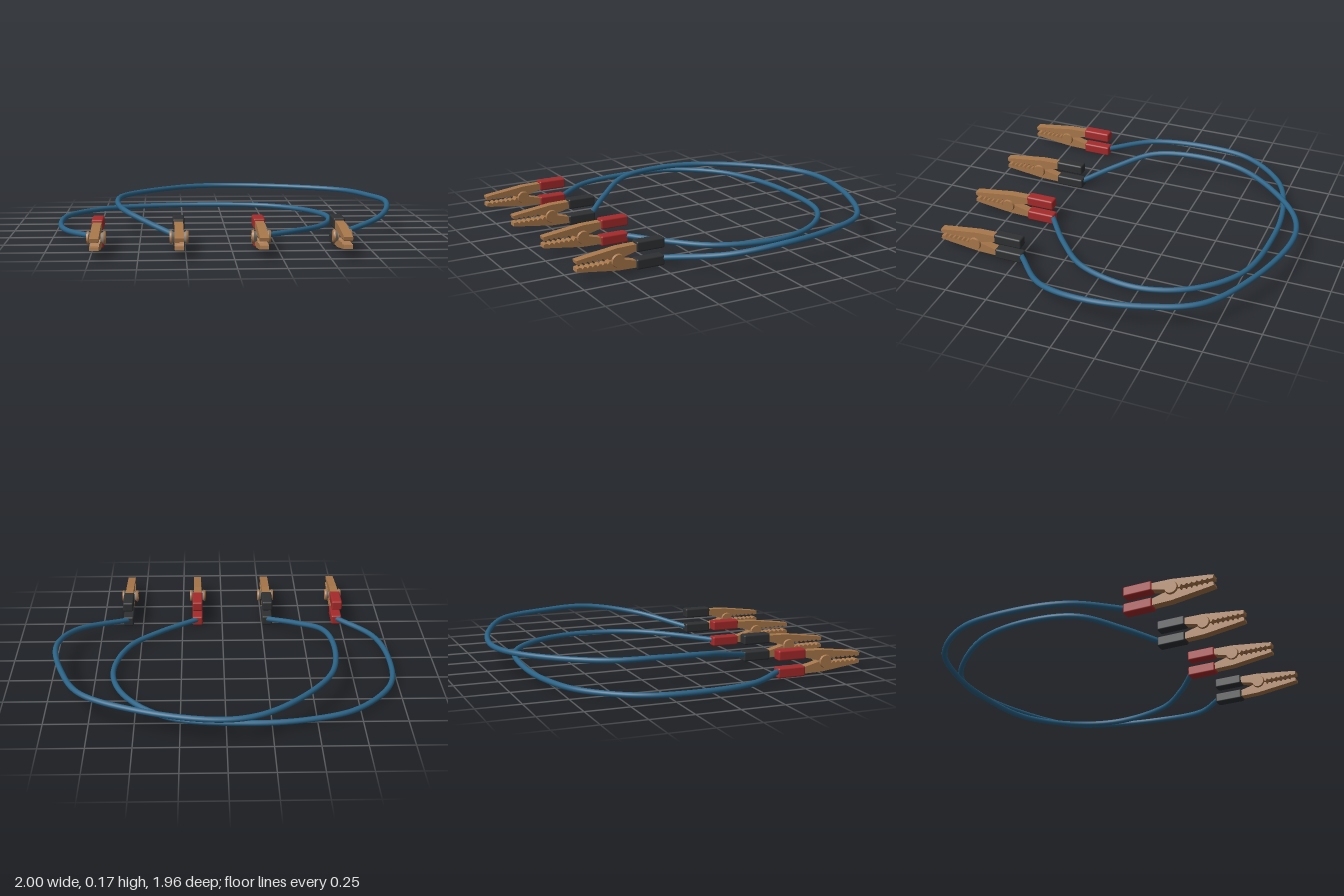
import * as THREE from 'three';
import { RoundedBoxGeometry } from 'three/addons/geometries/RoundedBoxGeometry.js';

const mat = (color, extra = {}) => Object.assign(new THREE.MeshStandardMaterial({ color }), extra);
const copper = mat(0xa8774a);
const steel = mat(0x8c8378);
const red = mat(0xa52a2a);
const black = mat(0x2e3032);
const blue = mat(0x2a6488);

const MID = 0.079; // height of the hinge axis

function add(parent, name, geometry, material) {
  const mesh = new THREE.Mesh(geometry, material);
  mesh.name = name;
  parent.add(mesh);
  return mesh;
}

// Side profile of one toothed jaw, in (z, height above hinge), extruded across x
function jawGeometry(sign) {
  const pts = [[0.6, 0.028], [0.63, 0.027], [0.72, 0.004], [0.79, 0.004]];
  const teeth = 6, z0 = 0.8, pitch = 0.029;
  for (let i = 0; i < teeth; i++) {
    pts.push([z0 + i * pitch, 0.019], [z0 + (i + 0.35) * pitch, 0.009], [z0 + (i + 0.7) * pitch, 0.009]);
  }
  pts.push([0.977, 0.012], [0.98, 0.031], [0.95, 0.036], [0.74, 0.063], [0.6, 0.066]);
  const shape = new THREE.Shape(pts.map(([z, y]) => new THREE.Vector2(-z, y * sign)));
  const width = 0.048;
  const geo = new THREE.ExtrudeGeometry(shape, { depth: width, bevelEnabled: false });
  geo.translate(0, 0, -width / 2);
  return geo.rotateY(Math.PI / 2); // profile -z runs along world +z
}

// Spring clip: two jaws, two insulated grips and a flared hinge pin
function makeClip(name, x, gripMaterial) {
  const clip = new THREE.Group();
  clip.name = name;
  for (const [side, sign] of [['upper', 1], ['lower', -1]]) {
    add(clip, side + 'Jaw', jawGeometry(sign), copper);
    const grip = add(clip, side + 'Grip', new RoundedBoxGeometry(0.064, 0.059, 0.168, 2, 0.01), gripMaterial);
    grip.position.set(0, sign * 0.0495, 0.548);
  }
  // Hinge: core, two flaring cones and domed end caps
  const core = add(clip, 'hingeCore', new THREE.CylinderGeometry(0.024, 0.024, 0.06, 20), steel);
  core.rotation.z = Math.PI / 2;
  core.position.z = 0.75;
  for (const s of [1, -1]) {
    const flare = add(clip, 'hingeFlare', new THREE.CylinderGeometry(0.036, 0.021, 0.02, 20), steel);
    flare.rotation.z = -s * Math.PI / 2;
    flare.position.set(s * 0.031, 0, 0.75);
    const cap = add(clip, 'hingeCap', new THREE.CylinderGeometry(0.034, 0.038, 0.011, 20), copper);
    cap.rotation.z = -s * Math.PI / 2;
    cap.position.set(s * 0.0455, 0, 0.75);
  }
  clip.position.set(x, MID, 0);
  return clip;
}

function makeCable(name, points) {
  const curve = new THREE.CatmullRomCurve3(points.map((p) => new THREE.Vector3(...p)));
  const geo = new THREE.TubeGeometry(curve, 160, 0.016, 12, false);
  const cable = new THREE.Mesh(geo, blue);
  cable.name = name;
  return cable;
}

export function createModel() {
  const model = new THREE.Group();
  model.name = 'jumperCables';

  // Clips alternate between the two cables
  model.add(
    makeClip('redClipRight', -0.725, red),
    makeClip('blackClipRight', -0.285, black),
    makeClip('redClipLeft', 0.155, red),
    makeClip('blackClipLeft', 0.592, black),
  );

  // Cable lying flat between the red clips
  const flat = [
    [-0.725, 0.48], [-0.925, 0.22], [-0.982, -0.14], [-0.937, -0.42], [-0.72, -0.68],
    [-0.45, -0.785], [-0.12, -0.817], [0.3, -0.755], [0.55, -0.53], [0.645, -0.24],
    [0.565, 0.11], [0.38, 0.31], [0.155, 0.48],
  ];
  model.add(makeCable('lowerCable', flat.map(([x, z]) => [x, 0.036, z])));

  // Cable rising from the black clips to cross above the other
  model.add(makeCable('upperCable', [
    [-0.285, 0.036, 0.48], [-0.45, 0.088, 0.31], [-0.6, 0.138, 0.11], [-0.645, 0.154, -0.18],
    [-0.595, 0.15, -0.48], [-0.37, 0.147, -0.78], [-0.16, 0.147, -0.93], [0.045, 0.147, -0.967],
    [0.43, 0.147, -0.88], [0.79, 0.147, -0.68], [0.92, 0.147, -0.42], [0.982, 0.145, -0.09],
    [0.885, 0.1, 0.22], [0.592, 0.036, 0.48],
  ]));

  return model;
}
